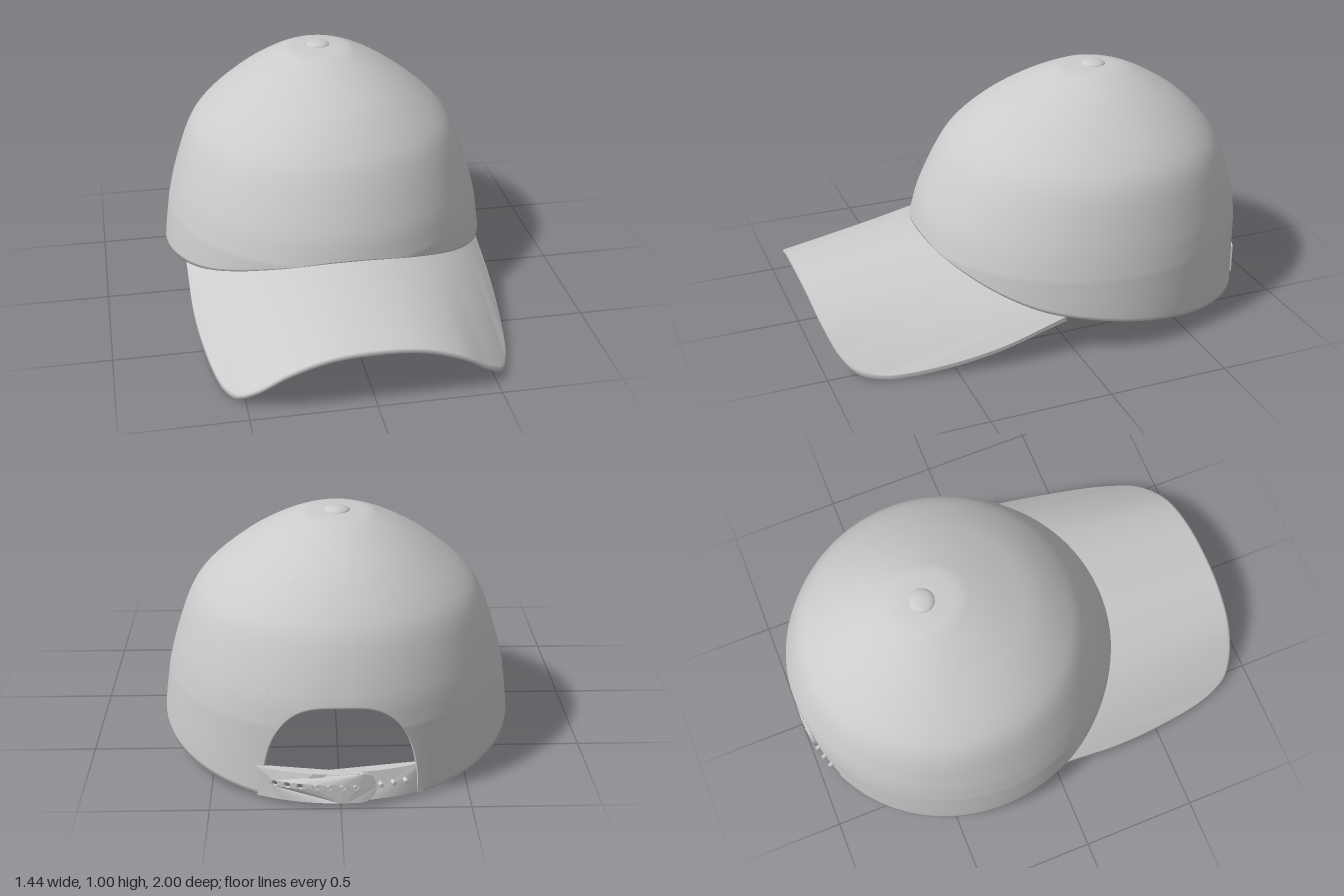
import * as THREE from 'three';

const CENTRE_Z = -0.265, RADIUS = 0.72; // footprint circle of the crown
const HOLE_W = 0.3, HOLE_TOP = 0.41;    // opening at the back

const material = new THREE.MeshStandardMaterial({ color: 0xcccccc, roughness: 0.8, side: THREE.DoubleSide });

function addMesh(parent, name, geometry) {
  const mesh = new THREE.Mesh(geometry, material);
  mesh.name = name;
  parent.add(mesh);
  return mesh;
}

// Smooth surface through a grid of points; closed joins the last column to the first
function gridGeometry(cols, rows, pointAt, closed = false) {
  const pos = [], index = [];
  for (let i = 0; i < cols; i++)
    for (let j = 0; j < rows; j++) pos.push(...pointAt(i, j));
  for (let i = 0; i < (closed ? cols : cols - 1); i++)
    for (let j = 0; j < rows - 1; j++) {
      const a = i * rows + j, b = ((i + 1) % cols) * rows + j;
      index.push(a, a + 1, b, b, a + 1, b + 1);
    }
  const g = new THREE.BufferGeometry();
  g.setAttribute('position', new THREE.Float32BufferAttribute(pos, 3));
  g.setIndex(index);
  g.computeVertexNormals();
  return g;
}

// Crown levels: height, front z, back z, half width
const LEVELS = [
  [-0.05, 0.47, -0.985, 0.725], [0.12, 0.468, -0.985, 0.72], [0.28, 0.463, -0.99, 0.70],
  [0.335, 0.455, -0.99, 0.69], [0.45, 0.42, -0.975, 0.66], [0.62, 0.335, -0.92, 0.60],
  [0.72, 0.26, -0.86, 0.53], [0.83, 0.13, -0.75, 0.40], [0.91, -0.02, -0.63, 0.28],
  [0.96, -0.14, -0.53, 0.18], [0.98, -0.22, -0.45, 0.12], [0.985, -0.35, -0.35, 0],
];
const profile = k => new THREE.SplineCurve(LEVELS.map(l => new THREE.Vector2(l[k], l[0])));
const front = profile(1), back = profile(2), side = profile(3);

// Profile parameter at a given height
function levelAt(y) {
  let lo = 0, hi = 1;
  for (let k = 0; k < 30; k++) {
    const mid = (lo + hi) / 2;
    if (side.getPoint(mid).y < y) lo = mid; else hi = mid;
  }
  return lo;
}

// Point on the crown at angle a (0 = front) and profile parameter u
function crownPoint(a, u, scale = 1) {
  const f = front.getPoint(u), b = back.getPoint(u).x, w = side.getPoint(u).x;
  const z = (f.x + b) / 2 + ((f.x - b) / 2) * Math.cos(a);
  return [w * Math.sin(a) * scale, f.y, CENTRE_Z + (z - CENTRE_Z) * scale];
}

// Hem height: sloping line at the sides, rising over the visor
function hemHeight(z) {
  const d = z - 0.04;
  return 0.165 + 0.155 * d + (d > 0 ? 0.6 * d * d : 0);
}
const hemAt = a => hemHeight(CENTRE_Z + RADIUS * Math.cos(a));

function buildCrown(group) {
  const holeAngle = Math.PI - Math.asin(HOLE_W / 0.725);
  const columns = [], hemCount = 120, holeCount = 64;
  for (let i = 0; i <= hemCount; i++) {
    const a = -holeAngle + (2 * holeAngle * i) / hemCount;
    columns.push({ a, y: hemAt(a) });
  }
  // Arched back opening
  for (let i = 1; i < holeCount; i++) {
    const p = (Math.PI * i) / holeCount, c = Math.cos(p);
    const x = HOLE_W * Math.sign(c) * Math.abs(c) ** 0.625;
    columns.push({ a: Math.PI - Math.asin(x / 0.725), y: 0.018 + (HOLE_TOP - 0.018) * Math.sin(p) ** 0.8 });
  }
  for (const c of columns) c.u = levelAt(c.y);

  // Outer shell down to the edge, then inner shell back up
  const steps = [];
  for (let k = 0; k < 44; k++) steps.push(k / 44);
  steps.push(0.992, 1);
  const n = steps.length;
  addMesh(group, 'crown', gridGeometry(columns.length, 2 * n, (i, j) => {
    const { a, u, y } = columns[i], inner = j >= n;
    const t = inner ? steps[2 * n - 1 - j] : steps[j];
    const p = crownPoint(a, 1 + (u - 1) * t, inner ? 0.982 : 1);
    if (inner) p[1] = y + (p[1] - y) * 0.985;
    return p;
  }, true));

  // Sweatband inside the hem
  const band = [[0, 0.984], [0, 0.972], [0.01, 0.97], [0.06, 0.97], [0.12, 0.97], [0.13, 0.972], [0.13, 0.984]];
  addMesh(group, 'sweatband', gridGeometry(hemCount + 1, band.length, (i, j) => {
    const { a, y } = columns[i];
    return crownPoint(a, levelAt(y + 0.004 + band[j][0]), band[j][1]);
  }));

  const button = addMesh(group, 'topButton', new THREE.SphereGeometry(0.053, 32, 16));
  button.scale.y = 0.36;
  button.position.set(0, 0.981, -0.355);
}

// Curved visor: straight rulings from the seam to the outer edge
function buildVisor(group) {
  const half = [
    [0.652, 0.167, 0.04], [0.65, 0.088, 0.3], [0.632, 0.046, 0.5], [0.6, 0.02, 0.7], [0.572, 0.016, 0.8],
    [0.53, 0.035, 0.885], [0.46, 0.085, 0.938], [0.34, 0.172, 0.976], [0.18, 0.233, 0.993],
  ];
  const points = [...half, [0, 0.25, 0.998], ...half.map(([x, y, z]) => [-x, y, z]).reverse()];
  const edge = new THREE.CatmullRomCurve3(points.map(p => new THREE.Vector3(...p)));
  const cols = 161, thick = 0.016;
  const steps = [0, 0.1, 0.2, 0.3, 0.4, 0.5, 0.6, 0.7, 0.8, 0.9, 0.96, 0.985, 1], n = steps.length;
  addMesh(group, 'visor', gridGeometry(cols, 2 * n, (i, j) => {
    const outer = edge.getPoint(i / (cols - 1)), under = j >= n;
    const t = under ? steps[2 * n - 1 - j] : steps[j];
    const r = 0.718, x = THREE.MathUtils.clamp(outer.x, -0.652, 0.652);
    const z = CENTRE_Z + Math.sqrt(r * r - x * x);
    const root = new THREE.Vector3(x, hemHeight(z), z);
    const p = root.lerp(outer, t);
    return [p.x, p.y - (under ? thick : 0), p.z];
  }));
}

// Flat strap with a rounded tip, wrapped around the back of the crown
function strapGeometry(mirror, start, tip, r0, depth, holes) {
  const outline = [], h = 0.062, y0 = 0.08, bend = tip + h;
  for (let k = 0; k <= 16; k++) outline.push(new THREE.Vector2(start + ((bend - start) * k) / 16, y0 + h));
  for (let k = 1; k < 16; k++) {
    const a = Math.PI / 2 + (Math.PI * k) / 16;
    outline.push(new THREE.Vector2(bend + h * Math.cos(a), y0 + h * Math.sin(a)));
  }
  for (let k = 16; k >= 0; k--) outline.push(new THREE.Vector2(start + ((bend - start) * k) / 16, y0 - h));
  const shape = new THREE.Shape(outline);
  for (const s of holes) shape.holes.push(new THREE.Path().absarc(s, y0 + 0.004, 0.012, 0, Math.PI * 2, true));
  const g = new THREE.ExtrudeGeometry(shape, { depth, bevelEnabled: false, curveSegments: 10 });
  const p = g.attributes.position;
  for (let i = 0; i < p.count; i++) {
    const a = (mirror * p.getX(i)) / RADIUS, r = r0 + p.getZ(i);
    p.setXYZ(i, r * Math.sin(a), p.getY(i), CENTRE_Z - r * Math.cos(a));
  }
  g.computeVertexNormals();
  return g;
}

function buildStrap(group) {
  const strap = new THREE.Group();
  strap.name = 'backStrap';
  group.add(strap);
  const spots = [-0.055, -0.005, 0.045, 0.095, 0.155, 0.205, 0.255];
  addMesh(strap, 'holedStrap', strapGeometry(1, 0.325, -0.135, 0.716, 0.014, spots));
  addMesh(strap, 'peggedStrap', strapGeometry(-1, 0.325, -0.135, 0.7, 0.013, []));
  // Snap pegs pointing outwards
  for (const s of [-0.255, -0.205, -0.155, ...spots.slice(0, 4)]) {
    const a = s / RADIUS, r = 0.721;
    const peg = addMesh(strap, 'peg', new THREE.CylinderGeometry(0.009, 0.01, 0.024, 12));
    peg.position.set(r * Math.sin(a), 0.084, CENTRE_Z - r * Math.cos(a));
    peg.rotation.set(-Math.PI / 2, 0, -a, 'YXZ');
    peg.quaternion.setFromUnitVectors(new THREE.Vector3(0, 1, 0), new THREE.Vector3(Math.sin(a), 0, -Math.cos(a)));
  }
}

export function createModel() {
  const cap = new THREE.Group();
  cap.name = 'cap';
  buildCrown(cap);
  buildVisor(cap);
  buildStrap(cap);
  return cap;
}
